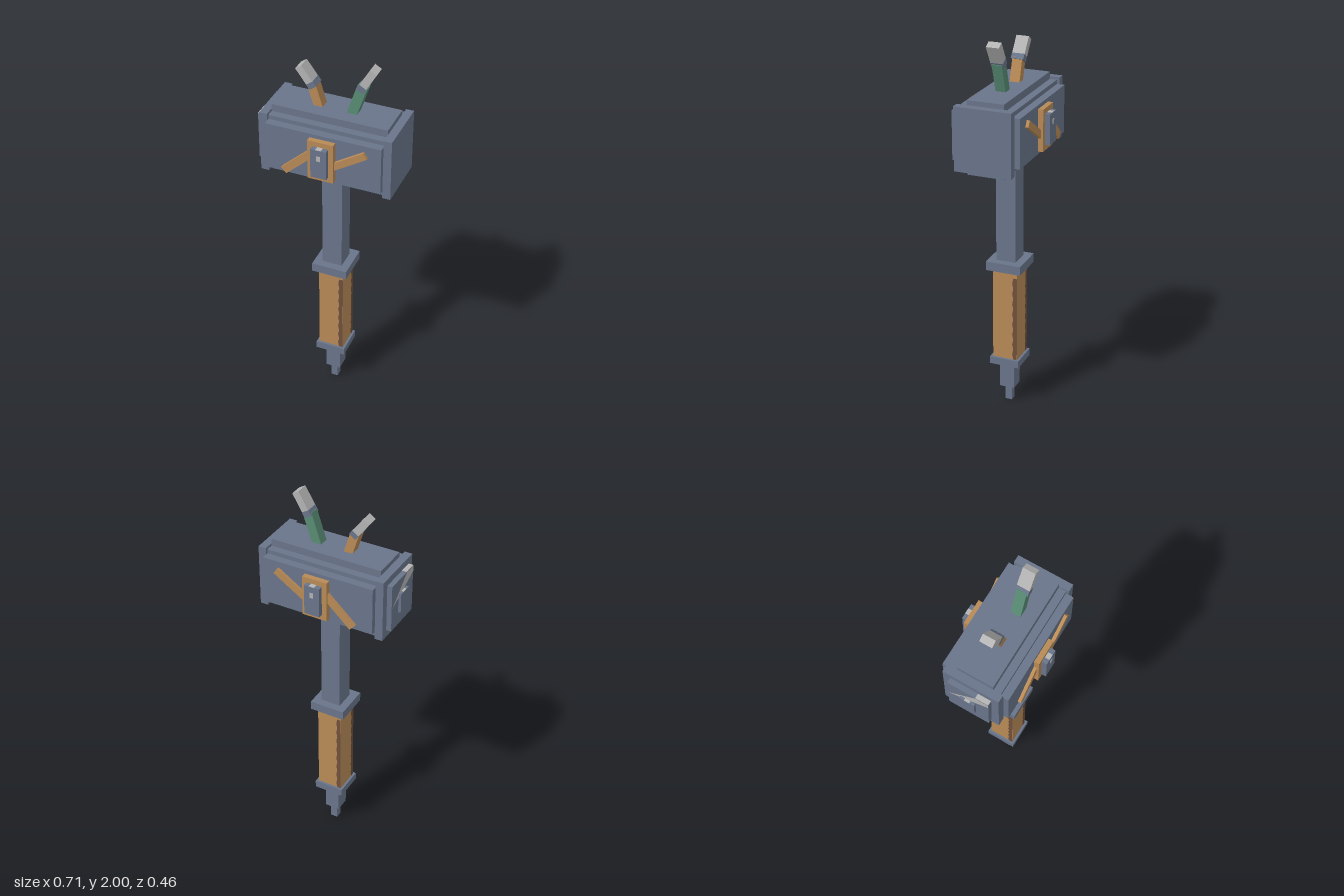
import * as THREE from 'three';

const mat = (name, color) => {
  const m = new THREE.MeshStandardMaterial({ color });
  m.name = name;
  return m;
};

export function createModel() {
  const steel = mat('blueSteel', 0x69758a);
  const wood = mat('wood', 0xb88a56);
  const darkWood = mat('darkWood', 0x70503c);
  const silver = mat('silver', 0xb4b4b4);
  const green = mat('greenWrap', 0x588c74);

  const model = new THREE.Group();
  model.name = 'hammer';

  const add = (name, geometry, material, parent = model) => {
    const mesh = new THREE.Mesh(geometry, material);
    mesh.name = name;
    parent.add(mesh);
    return mesh;
  };

  // Box given by its extents on each axis
  const box = (name, material, [x0, x1], [y0, y1], [z0, z1], parent) => {
    const mesh = add(name, new THREE.BoxGeometry(x1 - x0, y1 - y0, z1 - z0), material, parent);
    mesh.position.set((x0 + x1) / 2, (y0 + y1) / 2, (z0 + z1) / 2);
    return mesh;
  };

  // Bar lying between two points in the xy plane
  const bar = (name, material, [ax, ay], [bx, by], width, depth, z = 0, parent = model) => {
    const length = Math.hypot(bx - ax, by - ay);
    const mesh = add(name, new THREE.BoxGeometry(width, length, depth), material, parent);
    mesh.position.set((ax + bx) / 2, (ay + by) / 2, z);
    mesh.rotation.z = -Math.atan2(bx - ax, by - ay);
    return mesh;
  };

  // Handle: square sections stacked along one axis
  const axis = 0.017;
  const sections = [
    ['handleTip', steel, 0.019, 0, 0.085],
    ['pommel', steel, 0.04, 0.085, 0.232],
    ['lowerCollar', steel, 0.08, 0.232, 0.272],
    ['grip', wood, 0.067, 0.272, 0.775],
    ['upperCollar', steel, 0.094, 0.775, 0.823],
    ['shaft', steel, 0.053, 0.823, 1.37],
  ];
  for (const [name, material, r, y0, y1] of sections)
    box(name, material, [axis - r, axis + r], [y0, y1], [-r, r]);

  // Ragged dark edge down each side of the grip
  const strip = new THREE.Shape();
  strip.moveTo(0.067, 0.273);
  strip.lineTo(0.067, 0.74);
  const steps = 16;
  for (let i = 0; i <= steps; i++)
    strip.lineTo(i % 2 ? 0.041 : 0.047, 0.74 - (i / steps) * 0.467);
  const stripGeometry = new THREE.ShapeGeometry(strip);
  for (let i = 0; i < 4; i++) {
    const side = new THREE.Group();
    side.name = 'gripEdge';
    side.position.x = axis;
    side.rotation.y = (i * Math.PI) / 2;
    add('gripStrip', stripGeometry, darkWood, side).position.z = 0.0685;
    model.add(side);
  }

  // Head: core, end caps, and raised plates
  const span = [-0.277, 0.315];
  box('headCore', steel, span, [1.405, 1.702], [-0.134, 0.134]);
  box('rightEndCap', steel, [-0.318, -0.277], [1.39, 1.715], [-0.148, 0.148]);
  box('leftEndCap', steel, [0.315, 0.356], [1.39, 1.715], [-0.148, 0.148]);
  box('topPlate', steel, span, [1.68, 1.74], [-0.095, 0.095]);
  box('bottomPlate', steel, span, [1.366, 1.43], [-0.095, 0.095]);

  // Front and back: panel, braces, frame and latch
  for (const s of [1, -1]) {
    const face = new THREE.Group();
    face.name = s > 0 ? 'frontFace' : 'backFace';
    model.add(face);
    const slab = (name, material, x, y, z0, z1) =>
      box(name, material, x, y, s > 0 ? [z0, z1] : [-z1, -z0], face);

    slab('sidePanel', steel, span, [1.43, 1.68], 0.13, 0.175);
    bar('lowerBrace', wood, [-0.178, 1.445], [0.0, 1.61], 0.04, 0.04, s * 0.171, face);
    bar('upperBrace', wood, [0.05, 1.512], [0.24, 1.635], 0.036, 0.04, s * 0.171, face);
    slab('frame', wood, [-0.047, 0.085], [1.445, 1.66], 0.16, 0.202);
    slab('latch', steel, [-0.021, 0.06], [1.475, 1.633], 0.19, 0.228);
    slab('latchTopMark', silver, [0.005, 0.034], [1.633, 1.635], 0.203, 0.228);
    slab('latchMark', silver, [0.01, 0.03], [1.572, 1.6], 0.228, 0.23);
  }

  // Striking plate and knob on the right end
  box('endPlate', steel, [-0.344, -0.318], [1.43, 1.68], [-0.109, 0.109]);
  box('endKnob', steel, [-0.358, -0.344], [1.5, 1.605], [-0.04, 0.04]);
  box('knobTopMark', silver, [-0.358, -0.345], [1.605, 1.607], [-0.014, 0.014]);
  box('plateTopMark', silver, [-0.344, -0.319], [1.68, 1.682], [0.04, 0.109]);
  const glint = new THREE.Shape([
    new THREE.Vector2(-0.108, 1.555),
    new THREE.Vector2(0.108, 1.65),
    new THREE.Vector2(0.108, 1.68),
    new THREE.Vector2(0.04, 1.68),
  ]);
  const glintMesh = add('endPlateMark', new THREE.ShapeGeometry(glint), silver);
  glintMesh.rotation.y = -Math.PI / 2;
  glintMesh.position.x = -0.3455;

  // Bent prongs on top, each with a joint and a silver tip
  const prongs = [
    ['right', wood, [-0.06, 1.72], [-0.1, 1.85], [-0.163, 1.936], 0.045],
    ['left', green, [0.1, 1.72], [0.155, 1.89], [0.213, 1.99], 0.05],
  ];
  for (const [side, material, base, bend, tip, width] of prongs) {
    const dx = tip[0] - bend[0], dy = tip[1] - bend[1];
    const along = (t) => [bend[0] + dx * t, bend[1] + dy * t];
    bar(side + 'Prong', material, base, bend, width, 0.052);
    bar(side + 'ProngJoint', steel, along(-0.16), along(0.12), 0.042, 0.066);
    bar(side + 'ProngTip', silver, along(0.12), tip, 0.039, 0.066);
  }

  return model;
}
